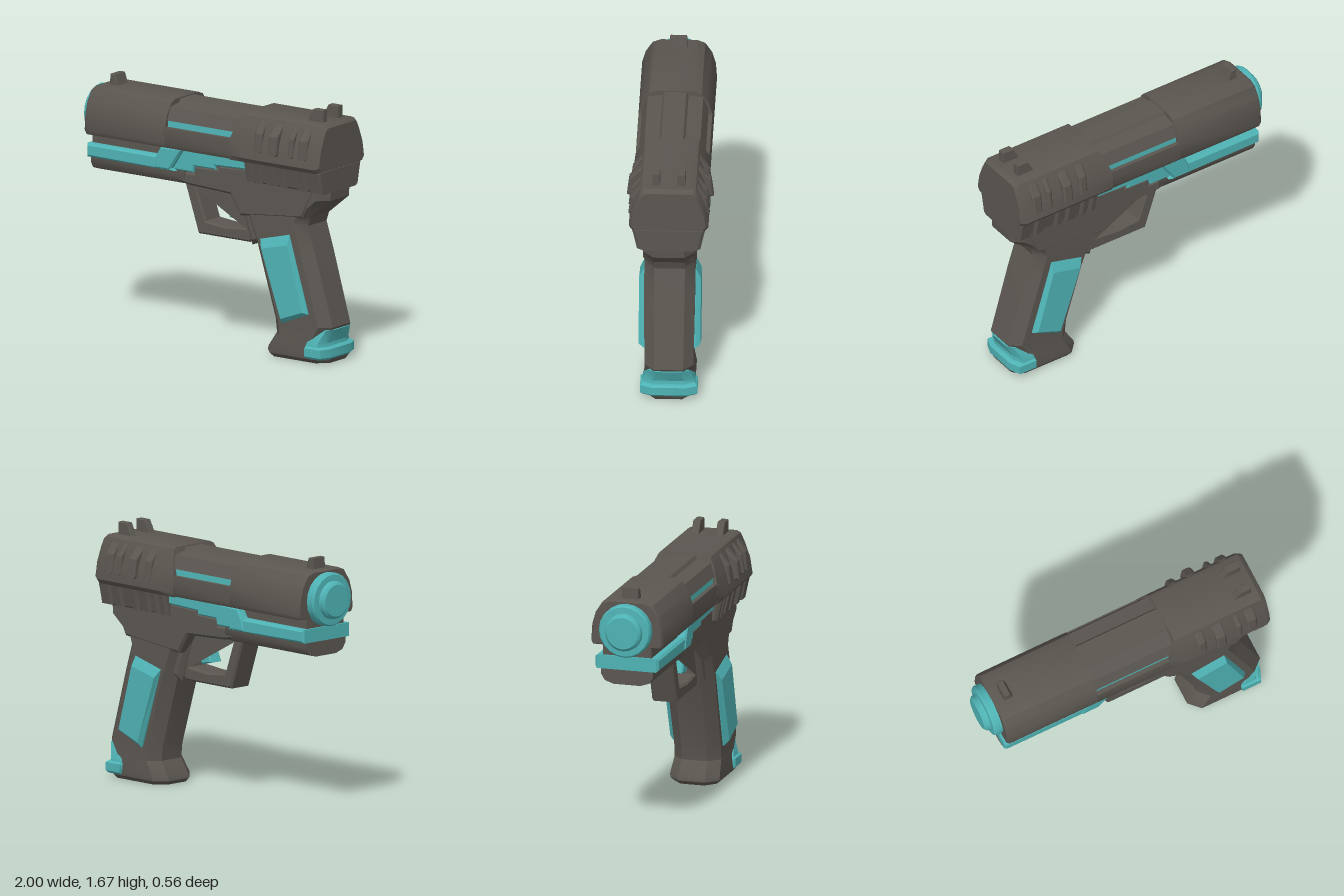
import * as THREE from 'three';
import { toCreasedNormals } from 'three/addons/utils/BufferGeometryUtils.js';

const dark = new THREE.MeshStandardMaterial({ color: 0x5b5650 });
dark.name = 'dark grey';
const teal = new THREE.MeshStandardMaterial({ color: 0x4fb3b5 });
teal.name = 'teal';

// Skin between rings of [x, y, z] points, with both ends closed.
function loft(rings, crease = 0.6) {
  const n = rings[0].length, pos = rings.flat(2), idx = [];
  for (let r = 0; r < rings.length - 1; r++) {
    for (let i = 0; i < n; i++) {
      const a = r * n + i, b = r * n + (i + 1) % n;
      idx.push(a, b, a + n, b, b + n, a + n);
    }
  }
  [0, rings.length - 1].forEach((r, end) => {
    const c = pos.length / 3;
    for (let k = 0; k < 3; k++) pos.push(rings[r].reduce((s, p) => s + p[k], 0) / n);
    for (let i = 0; i < n; i++) {
      const a = r * n + i, b = r * n + (i + 1) % n;
      idx.push(...(end ? [c, a, b] : [c, b, a]));
    }
  });
  // Turn the faces outward when the enclosed volume comes out negative.
  const v = (i) => new THREE.Vector3().fromArray(pos, i * 3);
  let volume = 0;
  for (let i = 0; i < idx.length; i += 3) volume += v(idx[i]).dot(v(idx[i + 1]).cross(v(idx[i + 2])));
  if (volume < 0) idx.reverse();
  const geo = new THREE.BufferGeometry();
  geo.setAttribute('position', new THREE.Float32BufferAttribute(pos, 3));
  geo.setIndex(idx);
  return toCreasedNormals(geo, crease);
}

// Ring across the barrel from a half profile of [z, y]; lean shifts x with height.
function crossRing(x, half, lean = () => 0) {
  const full = [...half, ...half.map(([z, y]) => [-z, y]).reverse()];
  return full.map(([z, y]) => [x + lean(y), y, z]);
}

// Level ring with chamfered corners, from front edge to back edge.
function gripRing([y, front, back, hw, c = 0.07]) {
  const half = [[front, hw * 0.55], [front + c, hw], [back - c, hw], [back, hw * 0.6]];
  return [...half, ...half.map(([x, z]) => [x, -z]).reverse()].map(([x, z]) => [x, y, z]);
}

// Side outline [x, y] extruded evenly about z = 0.
function sidePlate(points, hw, bevel = 0.01, hole) {
  const shape = new THREE.Shape(points.map((p) => new THREE.Vector2(...p)));
  if (hole) shape.holes.push(new THREE.Path(hole.map((p) => new THREE.Vector2(...p))));
  const geo = new THREE.ExtrudeGeometry(shape, {
    depth: 2 * (hw - bevel), bevelEnabled: bevel > 0, bevelThickness: bevel,
    bevelSize: bevel, bevelOffset: -bevel, bevelSegments: 1,
  });
  return geo.translate(0, 0, -(hw - bevel));
}

export function createModel() {
  const model = new THREE.Group();
  model.name = 'pistol';
  const add = (name, geo, material = dark) => {
    const mesh = new THREE.Mesh(geo, material);
    mesh.name = name;
    model.add(mesh);
    return mesh;
  };

  // Slide: front shell, cut-away middle with hood, heavier rear
  const shell = [[0.232, 1.285], [0.245, 1.31], [0.238, 1.42], [0.215, 1.5], [0.17, 1.57], [0.12, 1.59]];
  const shrunk = shell.map(([z, y]) => [z * 0.96, 1.43 + (y - 1.43) * 0.95]);
  add('slideFront', loft([crossRing(-0.9, shrunk), crossRing(-0.885, shell), crossRing(-0.25, shell)]));
  const lower = [[0.232, 1.285], [0.245, 1.31], [0.238, 1.42]];
  add('slideMiddle', loft([crossRing(-0.26, lower), crossRing(0.4, lower)]));
  const core = [[0.21, 1.41], [0.205, 1.475]];
  add('ejectionPort', loft([crossRing(-0.26, core), crossRing(0.4, core)]), teal);
  const hood = [[0.215, 1.462], [0.18, 1.545], [0.085, 1.56], [0.07, 1.582]];
  add('barrelHood', loft([crossRing(-0.26, hood), crossRing(0.4, hood)], 0.3));

  const rear = [[0.235, 1.28], [0.257, 1.31], [0.24, 1.42], [0.2, 1.53], [0.175, 1.58], [0.15, 1.592]];
  const rearEnd = rear.map(([z, y]) => [z * 0.94, 1.41 + (y - 1.41) * 0.88]);
  const lean = (y) => Math.max(0, y - 1.42) * 0.38;
  const rearStart = rear.map(([z, y]) => [Math.min(z, 0.246), y]);
  add('slideRear', loft([
    crossRing(0.27, rearStart, lean), crossRing(0.4, rear), crossRing(0.965, rear), crossRing(0.995, rearEnd),
  ]));

  // Grip ridges on the rear of the slide, mirrored on both sides
  const ridges = [[0.475, 0.535, 0.262], [0.6, 0.67, 0.28], [0.75, 0.79, 0.265], [0.83, 0.9, 0.262]];
  for (const side of [1, -1]) {
    for (const [x0, x1, out] of ridges) {
      const ring = (x, d) => [[0.2, 1.36], [out - d, 1.36 + d], [out - 0.015 - d, 1.485], [0.19, 1.56 - d], [0.15, 1.55]]
        .map(([z, y]) => [x, y, z * side]);
      add('slideRidge', loft([ring(x0, 0.012), ring(x0 + 0.012, 0), ring(x1 - 0.012, 0), ring(x1, 0.012)], 0.3));
    }
  }

  // Sights
  add('frontSight', sidePlate([[-0.835, 1.57], [-0.83, 1.66], [-0.79, 1.66], [-0.76, 1.57]], 0.056, 0.005));
  for (const z of [0.082, -0.082]) {
    add('rearSight', sidePlate([[0.79, 1.57], [0.845, 1.672], [0.925, 1.672], [0.925, 1.57]], 0.025, 0.004)).position.z = z;
  }

  // Stepped muzzle
  const muzzleProfile = [[0, -0.02], [0.175, -0.02], [0.175, 0.045], [0.165, 0.058], [0.125, 0.06],
    [0.122, 0.085], [0.105, 0.1], [0, 0.1]].map((p) => new THREE.Vector2(...p));
  const muzzle = toCreasedNormals(new THREE.LatheGeometry(muzzleProfile, 20), 0.5);
  add('muzzle', muzzle.rotateZ(Math.PI / 2).translate(-0.9, 1.4, 0), teal);

  // Frame under the slide
  const dust = [[0.09, 1.03], [0.15, 1.05], [0.175, 1.09], [0.175, 1.14]];
  add('dustCover', loft([crossRing(-0.895, dust), crossRing(-0.14, dust)]));
  add('slideBed', sidePlate([[-0.89, 1.19], [-0.89, 1.3], [0.9, 1.3], [0.9, 1.19]], 0.165, 0));
  add('frame', sidePlate([[-0.2, 1.06], [-0.12, 1.045], [0.22, 1.03], [0.3, 0.9], [0.8, 0.95], [0.9, 1.14],
    [0.9, 1.2], [0.37, 1.22], [0.12, 1.21], [0.12, 1.185], [-0.06, 1.18], [-0.07, 1.13], [-0.2, 1.13]], 0.17, 0.015));

  // Teal rail, its raised step and the strip behind it
  add('frontRail', sidePlate([[-0.905, 1.13], [-0.905, 1.22], [-0.3, 1.22], [-0.2, 1.13]], 0.215, 0.015), teal);
  add('railStep', sidePlate([[-0.36, 1.135], [-0.34, 1.22], [-0.3, 1.285], [-0.13, 1.285], [-0.23, 1.135]], 0.222, 0.012), teal);
  add('rearRail', sidePlate([[-0.3, 1.135], [-0.3, 1.285], [0.38, 1.285], [0.38, 1.215], [0.11, 1.205],
    [0.11, 1.18], [-0.06, 1.178], [-0.07, 1.135]], 0.185, 0.01), teal);

  // Ribbed block below the rear of the slide
  const block = [[0.165, 1.135], [0.185, 1.15], [0.215, 1.285]];
  add('rearBlock', loft([crossRing(0.37, block), crossRing(0.985, block)], 0.3));
  for (const side of [1, -1]) {
    for (const [x0, x1] of [[0.37, 0.43], [0.445, 0.5], [0.525, 0.615], [0.635, 0.7], [0.78, 0.86], [0.885, 0.985]]) {
      const ring = (x, d) => [[0.15, 1.14], [0.205 - d, 1.145], [0.225 - d, 1.24], [0.235 - d, 1.28], [0.15, 1.28]]
        .map(([z, y]) => [x, y, z * side]);
      add('blockRib', loft([ring(x0, 0.02), ring(x0 + 0.015, 0), ring(x1 - 0.015, 0), ring(x1, 0.02)], 0.3));
    }
  }

  // Grip with flared foot and tang
  add('grip', loft([
    [0, 0.49, 0.96, 0.145], [0.025, 0.47, 0.975, 0.165], [0.05, 0.475, 0.98, 0.168], [0.15, 0.54, 0.94, 0.158],
    [0.24, 0.53, 0.995, 0.158], [0.71, 0.39, 0.857, 0.165], [0.89, 0.32, 0.8, 0.165],
    [0.95, 0.29, 0.82, 0.165], [1.08, 0.22, 0.98, 0.165], [1.15, 0.2, 0.985, 0.165],
  ].map(gripRing), 0.5));
  add('gripFrontLip', sidePlate([[0.24, 1.03], [0.345, 0.7], [0.42, 0.73], [0.42, 1.03]], 0.12, 0.03));

  // Teal heel at the back of the foot
  add('heel', loft([[0.03, 0.805, 0.975, 0.17, 0.03], [0.045, 0.8, 0.988, 0.185, 0.03], [0.1, 0.8, 0.988, 0.185, 0.03],
    [0.112, 0.81, 0.975, 0.17, 0.03]].map(gripRing)), teal);
  add('heelTop', loft([[0.105, 0.8, 0.96, 0.172, 0.03], [0.135, 0.81, 0.955, 0.168, 0.03],
    [0.225, 0.93, 0.998, 0.13, 0.03]].map(gripRing)), teal);

  // Raised panels on both sides of the grip
  const outer = [[0.465, 0.77], [0.7, 0.83], [0.85, 0.32], [0.64, 0.235]];
  const inner = [[0.495, 0.715], [0.705, 0.765], [0.825, 0.335], [0.65, 0.27]];
  for (const side of [1, -1]) {
    const ring = (pts, z) => pts.map(([x, y]) => [x, y, z * side]);
    add(side > 0 ? 'frontGripPanel' : 'backGripPanel',
      loft([ring(outer, 0.14), ring(outer, 0.168), ring(inner, 0.2)], 0.2), teal);
  }

  // Trigger and guard
  add('triggerGuard', sidePlate([[-0.22, 1.07], [-0.1, 0.71], [0.315, 0.71], [0.36, 0.75], [0.36, 1.07]], 0.085, 0.012,
    [[-0.13, 1.05], [-0.04, 0.8], [0.12, 0.785], [0.29, 0.8], [0.29, 1.05]]));
  add('trigger', sidePlate([[0.15, 1.06], [0.155, 0.93], [0.12, 0.845], [0.21, 0.825], [0.28, 0.92],
    [0.285, 1.06]], 0.05, 0.01), teal);

  return model;
}
